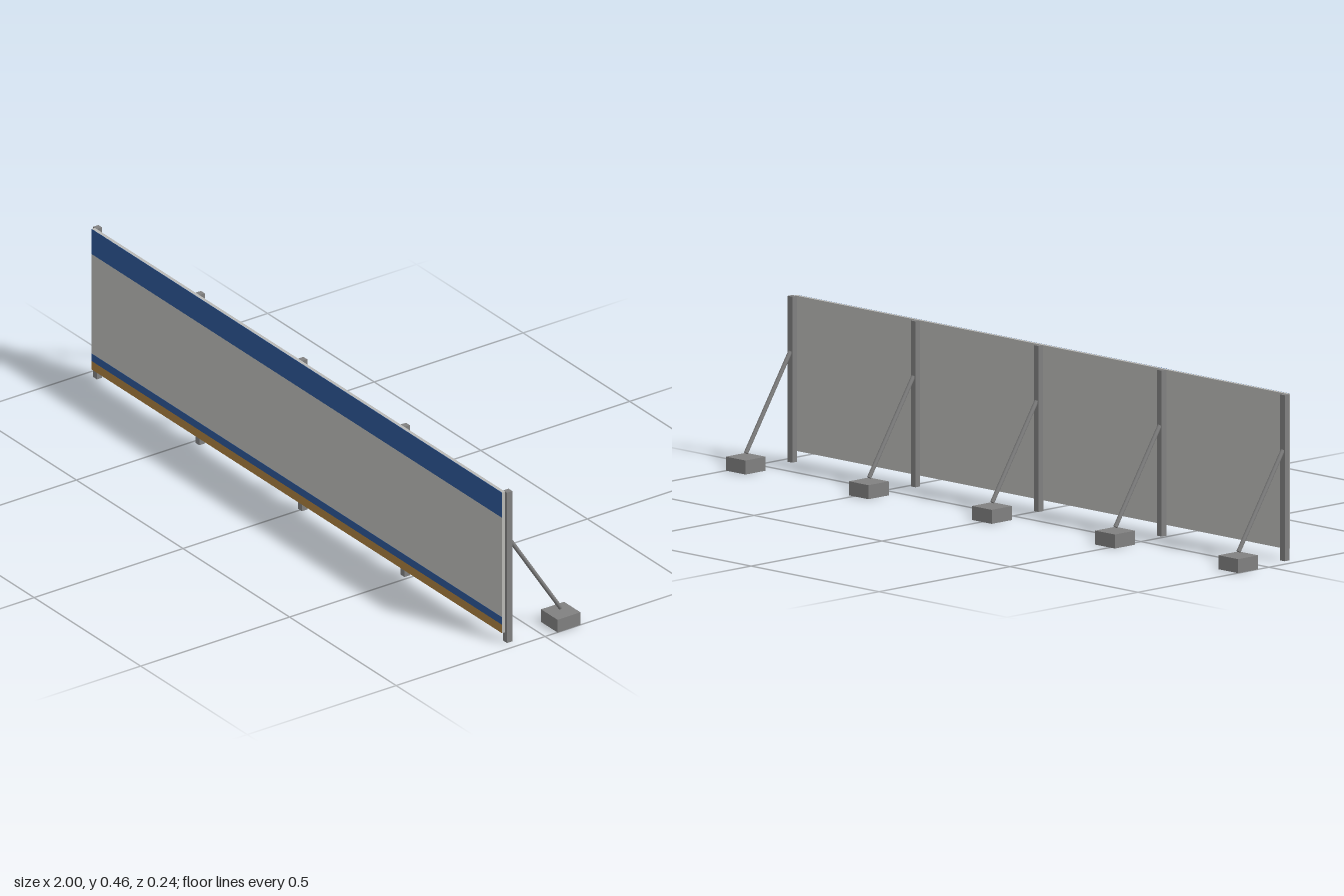
import * as THREE from 'three';

export function createModel() {
  const mat = (name, color) => {
    const m = new THREE.MeshStandardMaterial({ color });
    m.name = name;
    return m;
  };
  const panelGrey = mat('panel grey', 0xb9b9b6);
  const steel = mat('steel grey', 0x808080);
  const blue = mat('stripe blue', 0x2c5594);
  const ochre = mat('base board ochre', 0xa67c3d);

  const model = new THREE.Group();
  model.name = 'bracedFence';

  // Box given by its size and its lowest, centred position
  const box = (name, material, w, h, d, x, y, z, parent = model) => {
    const mesh = new THREE.Mesh(new THREE.BoxGeometry(w, h, d), material);
    mesh.name = name;
    mesh.position.set(x, y + h / 2, z);
    parent.add(mesh);
    return mesh;
  };

  // Long flat panel with painted bands on its front
  const length = 1.925;
  box('panel', panelGrey, length, 0.432, 0.0105, 0, 0.03, 0.1122);
  const band = (name, material, y0, y1) =>
    box(name, material, length, y1 - y0, 0.001, 0, y0, 0.1175);
  band('baseBoard', ochre, 0.03, 0.056);
  band('lowerStripe', blue, 0.056, 0.079);
  band('upperStripe', blue, 0.385, 0.462);

  // Post, slanted brace and ballast block, repeated along the back
  const top = new THREE.Vector3(0, 0.308, 0.09);
  const bottom = new THREE.Vector3(0, 0.049, -0.079);
  const along = top.clone().sub(bottom);
  for (let i = -2; i <= 2; i++) {
    const support = new THREE.Group();
    support.name = 'support';
    support.position.x = i * 0.481;
    model.add(support);

    box('post', steel, 0.018, 0.462, 0.018, 0, 0, 0.098, support);
    box('ballastBlock', steel, 0.077, 0.039, 0.077, 0, 0, -0.08, support);

    const brace = new THREE.Mesh(
      new THREE.CylinderGeometry(0.006, 0.006, along.length(), 16), steel);
    brace.name = 'brace';
    brace.position.copy(top).add(bottom).multiplyScalar(0.5);
    brace.quaternion.setFromUnitVectors(
      new THREE.Vector3(0, 1, 0), along.clone().normalize());
    support.add(brace);
  }
  return model;
}
